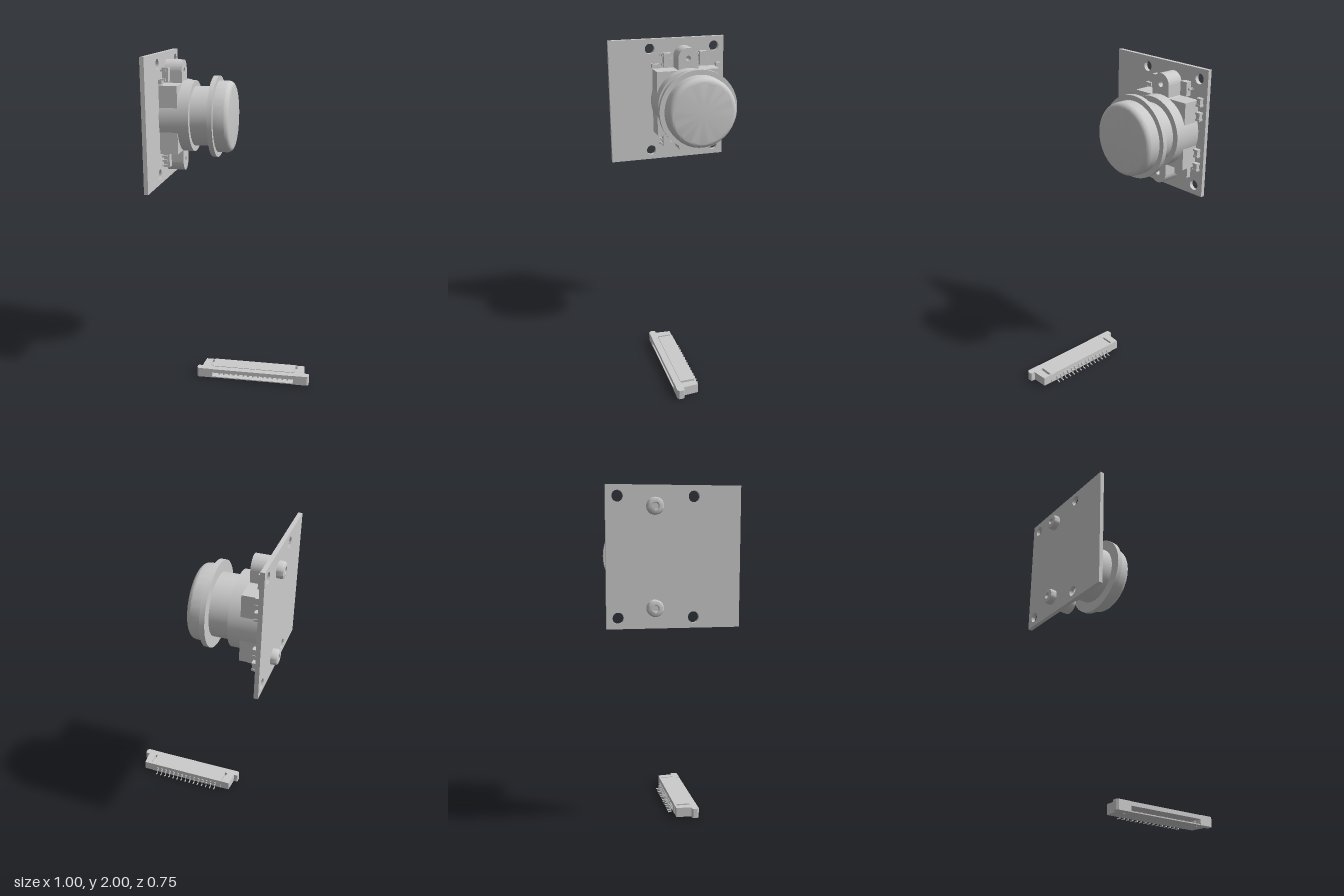
import * as THREE from 'three';
import { toCreasedNormals } from 'three/addons/utils/BufferGeometryUtils.js';

const mat = new THREE.MeshStandardMaterial({ color: 0xcccccc });

function add(parent, name, geo) {
  const m = new THREE.Mesh(geo, mat);
  m.name = name;
  parent.add(m);
  return m;
}

// Box given by its limits on each axis
function box(parent, name, x0, x1, y0, y1, z0, z1) {
  const m = add(parent, name, new THREE.BoxGeometry(x1 - x0, y1 - y0, z1 - z0));
  m.position.set((x0 + x1) / 2, (y0 + y1) / 2, (z0 + z1) / 2);
  return m;
}

// Outline in (z, y), extruded along x from x0 to x1
function plate(parent, name, shape, x0, x1) {
  const geo = new THREE.ExtrudeGeometry(shape, { depth: x1 - x0, bevelEnabled: false, curveSegments: 24 });
  const m = add(parent, name, toCreasedNormals(geo, 0.6));
  m.rotation.y = -Math.PI / 2;
  m.position.x = x1;
  return m;
}

// Outline in (x, z), extruded upwards from y0 to y1
function slab(parent, name, pts, y0, y1) {
  const shape = new THREE.Shape(pts.map(([x, z]) => new THREE.Vector2(x, -z)));
  const m = add(parent, name, new THREE.ExtrudeGeometry(shape, { depth: y1 - y0, bevelEnabled: false }));
  m.rotation.x = -Math.PI / 2;
  m.position.y = y0;
  return m;
}

// Profile of [radius, x] turned about an axis along x
function turned(parent, name, pts, y, z, segments = 64) {
  const geo = new THREE.LatheGeometry(pts.map(([r, x]) => new THREE.Vector2(r, x)), segments);
  const m = add(parent, name, toCreasedNormals(geo, 0.6));
  m.rotation.z = -Math.PI / 2;
  m.position.set(0, y, z);
  return m;
}

function hole(shape, z, y, r) {
  shape.holes.push(new THREE.Path().absarc(z, y, r, 0, Math.PI * 2, true));
}

const CY = 1.613, CZ = -0.108, FACE = -0.44;

function buildCamera() {
  const g = new THREE.Group();
  g.name = 'cameraModule';

  // Circuit board with four mounting holes
  const board = new THREE.Shape([[-0.375, 1.225], [0.372, 1.225], [0.372, 2], [-0.375, 2]]
    .map(([z, y]) => new THREE.Vector2(z, y)));
  for (const z of [0.11, -0.31]) for (const y of [1.285, 1.94]) hole(board, z, y, 0.031);
  plate(g, 'circuitBoard', board, -0.465, FACE);

  // Lens holder: square base and round collar
  box(g, 'holderBase', FACE, -0.33, CY - 0.203, CY + 0.203, CZ - 0.203, CZ + 0.203);
  turned(g, 'holderCollar', [[0, FACE], [0.216, FACE], [0.216, -0.262], [0, -0.262]], CY, CZ);

  // Lens barrel, flange and rounded cap
  turned(g, 'lensBarrel', [[0, -0.27], [0.181, -0.27], [0.181, -0.14], [0, -0.14]], CY, CZ);
  turned(g, 'lensFlange', [[0, -0.145], [0.247, -0.145], [0.247, -0.115], [0, -0.115]], CY, CZ);
  const cap = [[0, -0.12], [0.217, -0.12]];
  for (let i = 0; i <= 8; i++) {
    const a = i / 8 * Math.PI / 2;
    cap.push([0.182 + 0.035 * Math.cos(a), -0.06 + 0.035 * Math.sin(a)]);
  }
  cap.push([0, -0.025]);
  turned(g, 'lensCap', cap, CY, CZ);

  // Screw ears above and below, with screw heads behind the board
  for (const s of [1, -1]) {
    const cy = CY + s * 0.275, r = 0.065, inner = CY + s * 0.16;
    const ear = new THREE.Shape();
    ear.moveTo(CZ + s * r, inner);
    ear.lineTo(CZ + s * r, cy);
    ear.absarc(CZ, cy, r, s > 0 ? 0 : Math.PI, s > 0 ? Math.PI : Math.PI * 2, false);
    ear.lineTo(CZ - s * r, inner);
    hole(ear, CZ, cy, 0.017);
    plate(g, 'screwEar', ear, FACE, -0.332);
    turned(g, 'screwHead', [[0, -0.485], [0.017, -0.485], [0.02, -0.505], [0.034, -0.505],
      [0.042, -0.501], [0.047, -0.49], [0.047, -0.46], [0, -0.46]], cy, CZ, 32);
  }

  // Low block under the holder
  box(g, 'lowBlock', FACE, -0.41, 1.33, 1.42, -0.278, -0.175);

  // Small chips with leads: [y, z, leads on +z, leads on -z]
  for (const [y, z, a, b] of [[1.872, 0.006, 2, 1], [1.873, -0.228, 2, 1], [1.358, 0.016, 3, 2]]) {
    box(g, 'chip', -0.435, -0.398, y - 0.042, y + 0.042, z - 0.024, z + 0.024);
    for (const [n, s] of [[a, 1], [b, -1]]) {
      for (let i = 0; i < n; i++) {
        const ly = y + (n > 1 ? (i / (n - 1) - 0.5) * 0.056 : 0);
        const near = z + s * 0.02, mid = z + s * 0.031, far = z + s * 0.04;
        box(g, 'chipLead', -0.42, -0.412, ly - 0.006, ly + 0.006, Math.min(near, mid), Math.max(near, mid));
        box(g, 'chipLead', FACE, -0.413, ly - 0.006, ly + 0.006, mid - 0.003, mid + 0.003);
        box(g, 'chipLead', FACE, -0.433, ly - 0.006, ly + 0.006, Math.min(mid, far), Math.max(mid, far));
      }
    }
  }

  // Passive components: body with wider end terminals
  for (const y of [1.81, 1.725, 1.5, 1.413]) {
    box(g, 'componentBody', FACE, -0.415, y - 0.014, y + 0.014, -0.346, -0.32);
    for (const s of [1, -1]) {
      const c = y + s * 0.019;
      box(g, 'componentTerminal', FACE, -0.412, c - 0.006, c + 0.006, -0.35, -0.316);
    }
  }
  box(g, 'componentBody', FACE, -0.42, 1.828, 1.846, 0.066, 0.096);
  for (const z of [0.062, 0.098]) box(g, 'componentTerminal', FACE, -0.418, 1.825, 1.849, z - 0.006, z + 0.006);
  return g;
}

function buildConnector() {
  const g = new THREE.Group();
  g.name = 'ribbonConnector';
  const CX = 0.146;

  // Housing with an open slot at the front
  box(g, 'housingTop', CX - 0.26, CX + 0.26, 0.038, 0.065, 0.076, 0.174);
  box(g, 'housingFloor', CX - 0.26, CX + 0.26, 0.004, 0.01, 0.076, 0.174);
  box(g, 'housingBack', CX - 0.26, CX + 0.26, 0.006, 0.06, 0.076, 0.1);

  // Sliding latch across the front
  box(g, 'latchBar', CX - 0.27, CX + 0.27, 0.038, 0.062, 0.172, 0.215);
  box(g, 'latchLip', CX - 0.27, CX + 0.27, 0.004, 0.01, 0.172, 0.213);

  // Latch ends and side lugs, mirrored
  for (const s of [-1, 1]) {
    const outline = (pts) => {
      const p = pts.map(([x, z]) => [CX + s * x, z]);
      return s > 0 ? p : p.reverse();
    };
    slab(g, 'latchEnd', outline([[0.256, 0.215], [0.342, 0.215], [0.353, 0.205], [0.353, 0.178],
      [0.347, 0.172], [0.256, 0.172]]), 0.004, 0.063);
    slab(g, 'sideLug', outline([[0.275, 0.174], [0.325, 0.174], [0.317, 0.078], [0.275, 0.078]]), 0.004, 0.063);
    slab(g, 'lugWeb', outline([[0.255, 0.165], [0.28, 0.165], [0.28, 0.085], [0.255, 0.085]]), 0.004, 0.045);
    slab(g, 'lugBridge', outline([[0.255, 0.09], [0.28, 0.09], [0.28, 0.078], [0.255, 0.078]]), 0.004, 0.063);
  }

  // Gull-wing pins at the back, with spring contacts in the slot
  for (let i = 0; i < 15; i++) {
    const x = CX + (i - 7) * 0.0311;
    box(g, 'pinShoulder', x - 0.006, x + 0.006, 0.018, 0.04, 0.07, 0.08);
    box(g, 'pinArm', x - 0.003, x + 0.003, 0.022, 0.028, 0.062, 0.08);
    box(g, 'pinLeg', x - 0.003, x + 0.003, 0.0, 0.028, 0.061, 0.067);
    box(g, 'pinFoot', x - 0.003, x + 0.003, 0.0, 0.006, 0.045, 0.066);
    box(g, 'springContact', x - 0.005, x + 0.005, 0.009, 0.022, 0.095, 0.18);
  }
  return g;
}

export function createModel() {
  const model = new THREE.Group();
  model.name = 'cameraAndConnector';
  model.add(buildCamera(), buildConnector());
  return model;
}
